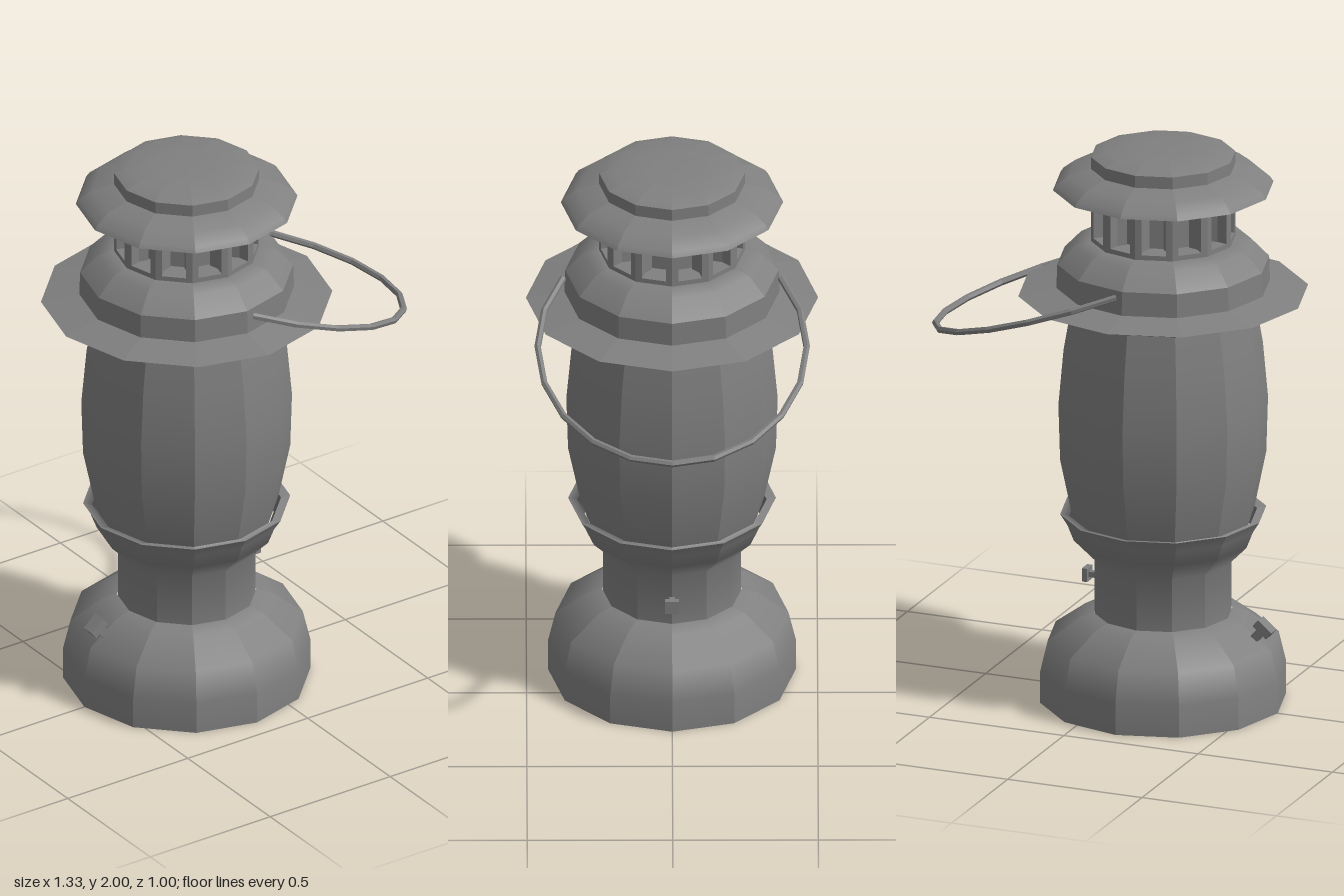
import * as THREE from 'three';
import { mergeGeometries } from 'three/addons/utils/BufferGeometryUtils.js';

const SIDES = 12;
const STEP = Math.PI * 2 / SIDES;
const AXIS_X = -0.161;
const COLOR = 0x808080;

// Lathe that is smooth along its profile but faceted around its axis
function facetedLathe(profile) {
  const points = profile.map(([r, y]) => new THREE.Vector2(r, y));
  const geometry = new THREE.LatheGeometry(points, SIDES).toNonIndexed();
  const { position: p, normal: n } = geometry.attributes;
  for (let i = 0; i < p.count; i += 3) {
    const cx = p.getX(i) + p.getX(i + 1) + p.getX(i + 2);
    const cz = p.getZ(i) + p.getZ(i + 1) + p.getZ(i + 2);
    const angle = (Math.floor(Math.atan2(cx, cz) / STEP) + 0.5) * STEP;
    for (let k = i; k < i + 3; k++) {
      const h = Math.hypot(n.getX(k), n.getZ(k));
      n.setXYZ(k, h * Math.sin(angle), n.getY(k), h * Math.cos(angle));
    }
  }
  return geometry;
}

export function createModel() {
  const model = new THREE.Group();
  const smooth = new THREE.MeshStandardMaterial({ color: COLOR });
  const flat = new THREE.MeshStandardMaterial({ color: COLOR, flatShading: true });

  const add = (name, geometry, parent, material = flat) => {
    const mesh = new THREE.Mesh(geometry, material);
    mesh.name = name;
    parent.add(mesh);
    return mesh;
  };

  // Everything turned around the lamp's axis; each run of points ends at a sharp edge
  const body = new THREE.Group();
  body.name = 'lampBody';
  body.position.x = AXIS_X;
  model.add(body);
  const turned = (name, ...runs) => add(name, mergeGeometries(runs.map(facetedLathe)), body, smooth);

  turned('fuelTank',
    [[0, 0], [0.426, 0]],
    [[0.426, 0], [0.426, 0.115], [0.4, 0.225], [0.29, 0.305], [0.24, 0.32]]);
  turned('neckAndCup',
    [[0.237, 0.31], [0.237, 0.51], [0.31, 0.585], [0.332, 0.642], [0.357, 0.682]],
    [[0.357, 0.682], [0.325, 0.675], [0.3, 0.62]]);
  turned('globe', [[0.29, 0.6], [0.318, 0.69], [0.357, 0.88], [0.363, 1.08], [0.345, 1.28], [0.312, 1.47]]);
  turned('collar',
    [[0.3, 1.465], [0.46, 1.465], [0.502, 1.48]],
    [[0.502, 1.48], [0.37, 1.505]],
    [[0.37, 1.505], [0.367, 1.59]],
    [[0.367, 1.59], [0.305, 1.655], [0.25, 1.67], [0, 1.67]]);
  turned('ventCore', [[0.17, 1.66], [0.17, 1.87]]);
  turned('cap',
    [[0, 1.86], [0.382, 1.86]],
    [[0.382, 1.86], [0.37, 1.878], [0.325, 1.912], [0.25, 1.932]],
    [[0.25, 1.932], [0.25, 1.975]],
    [[0.25, 1.975], [0.2, 1.993], [0.1, 2], [0, 2]]);

  // Ring of framed vent windows
  const rectangle = (w, y0, y1) => [[-w, y0], [w, y0], [w, y1], [-w, y1]]
    .map(([x, y]) => new THREE.Vector2(x, y));
  const frame = new THREE.Shape(rectangle(0.25 * Math.sin(STEP / 2), 1.665, 1.865));
  frame.holes.push(new THREE.Path(rectangle(0.042, 1.687, 1.838)));
  const panel = new THREE.ExtrudeGeometry(frame, { depth: 0.08, bevelEnabled: false });
  panel.translate(0, 0, 0.25 * Math.cos(STEP / 2) - 0.08);
  for (let i = 0; i < SIDES; i++) {
    add('ventFrame', panel, body).rotation.y = (i + 0.5) * STEP;
  }

  // Wick knob on the left side of the neck
  add('wickStem', new THREE.BoxGeometry(0.1, 0.02, 0.02), model).position.set(0.075, 0.415, 0);
  add('wickKnob', new THREE.BoxGeometry(0.02, 0.048, 0.048), model).position.set(0.122, 0.415, 0);

  // Tilted filler cap on the right shoulder of the tank
  const filler = new THREE.Group();
  filler.name = 'filler';
  filler.position.set(-0.497, 0.255, 0);
  filler.rotation.z = 0.7;
  model.add(filler);
  add('fillerStem', new THREE.BoxGeometry(0.03, 0.08, 0.03), filler).position.y = 0.015;
  add('fillerCap', new THREE.BoxGeometry(0.065, 0.032, 0.048), filler).position.y = 0.064;

  // Wire handle lowered to the left, with evenly turned segments
  class HandleCurve extends THREE.Curve {
    getPoint(t, target = new THREE.Vector3()) {
      const a = (t * 2 - 1) * Math.PI * 0.7;
      const x = 0.152 + 0.5 * Math.cos(a);
      return target.set(x, 1.468 - 0.345 * (x - 0.15), 0.462 * Math.sin(a));
    }
    getUtoTmapping(u) {
      return u;
    }
  }
  add('handle', new THREE.TubeGeometry(new HandleCurve(), 14, 0.012, 6), model);

  return model;
}
